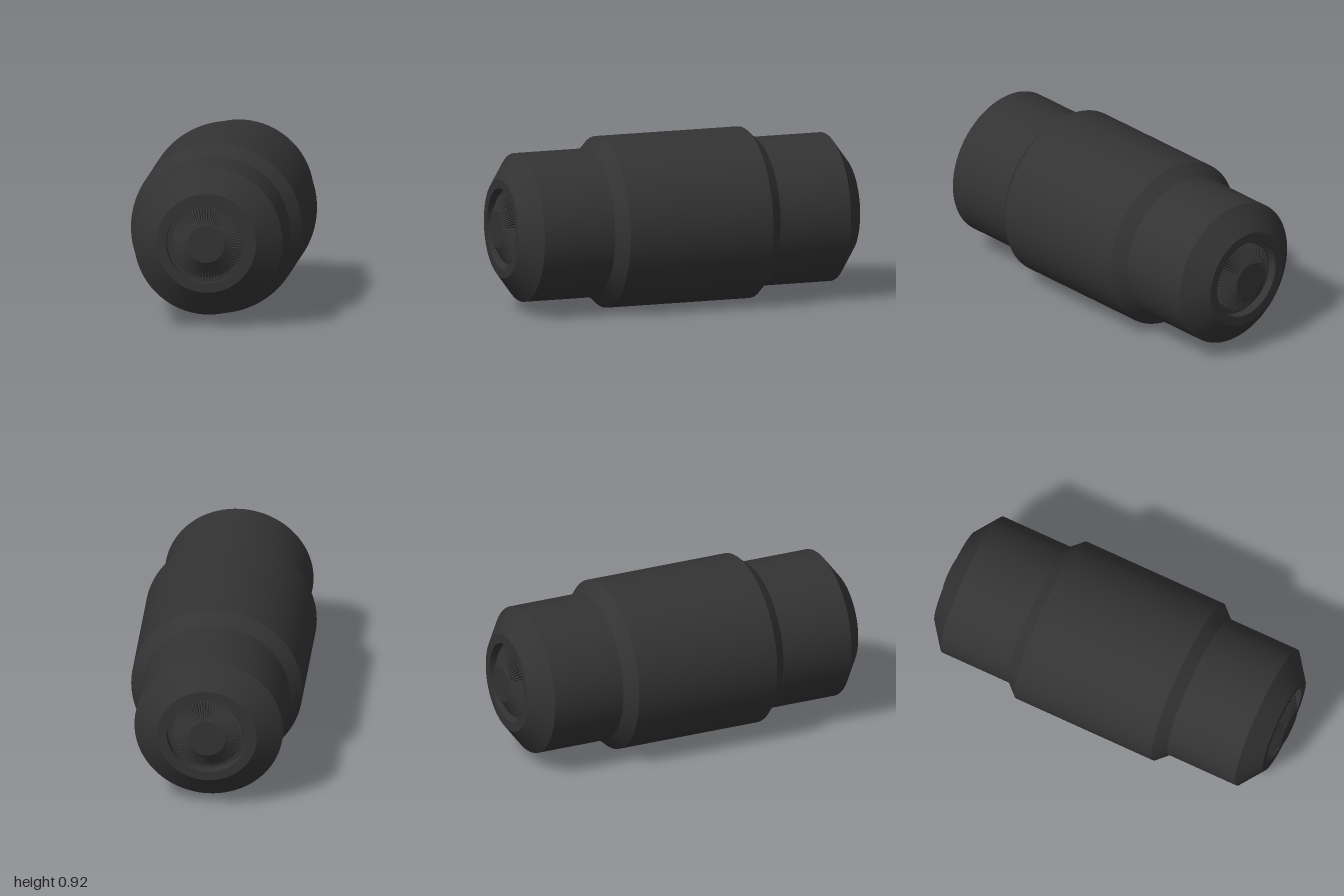
import * as THREE from 'three';
import { mergeGeometries, toCreasedNormals } from 'three/addons/utils/BufferGeometryUtils.js';

const material = new THREE.MeshStandardMaterial({ color: 0x333333 });
const RADIUS = 0.458, FLOOR = 0.92, FINS = 72;

function part(name, geometry) {
  const mesh = new THREE.Mesh(geometry, material);
  mesh.name = name;
  return mesh;
}

// Stepped, chamfered barrel with a round recess in each end
function makeBody() {
  const half = [
    [0, FLOOR], [0.215, FLOOR], [0.215, 0.97], [0.265, 0.97],
    [0.397, 0.87], [0.397, 0.47], [RADIUS, 0.405],
  ];
  const points = [
    ...half.map(([r, z]) => new THREE.Vector2(r, -z)),
    ...half.slice().reverse().map(([r, z]) => new THREE.Vector2(r, z)),
  ];
  const geometry = new THREE.LatheGeometry(points, 96).rotateX(Math.PI / 2);
  return part('body', toCreasedNormals(geometry, 0.4));
}

// Ring of thin sloping fins around the hub
function makeFins() {
  const width = 0.008;
  const shape = new THREE.Shape([
    [0.09, FLOOR], [0.187, FLOOR], [0.187, 0.947], [0.1, 1], [0.09, 1],
  ].map(([r, z]) => new THREE.Vector2(r, z)));
  const fin = new THREE.ExtrudeGeometry(shape, { depth: width, bevelEnabled: false })
    .translate(0, 0, -width / 2).rotateX(Math.PI / 2);
  const fins = [];
  for (let i = 0; i < FINS; i++) {
    fins.push(fin.clone().rotateZ((i / FINS) * Math.PI * 2));
  }
  return part('fins', mergeGeometries(fins));
}

// Finned insert sitting in the end recess
function makeEndInsert(name) {
  const group = new THREE.Group();
  group.name = name;
  const hub = new THREE.CylinderGeometry(0.1, 0.1, 1 - FLOOR, 72)
    .rotateX(Math.PI / 2).translate(0, 0, (1 + FLOOR) / 2);
  group.add(part('hub', hub), makeFins());
  return group;
}

export function createModel() {
  const model = new THREE.Group();
  model.name = 'barrel';
  const front = makeEndInsert('frontInsert');
  const back = makeEndInsert('backInsert');
  back.rotation.y = Math.PI;
  const assembly = new THREE.Group();
  assembly.name = 'assembly';
  assembly.position.y = RADIUS;
  assembly.add(makeBody(), front, back);
  model.add(assembly);
  return model;
}
